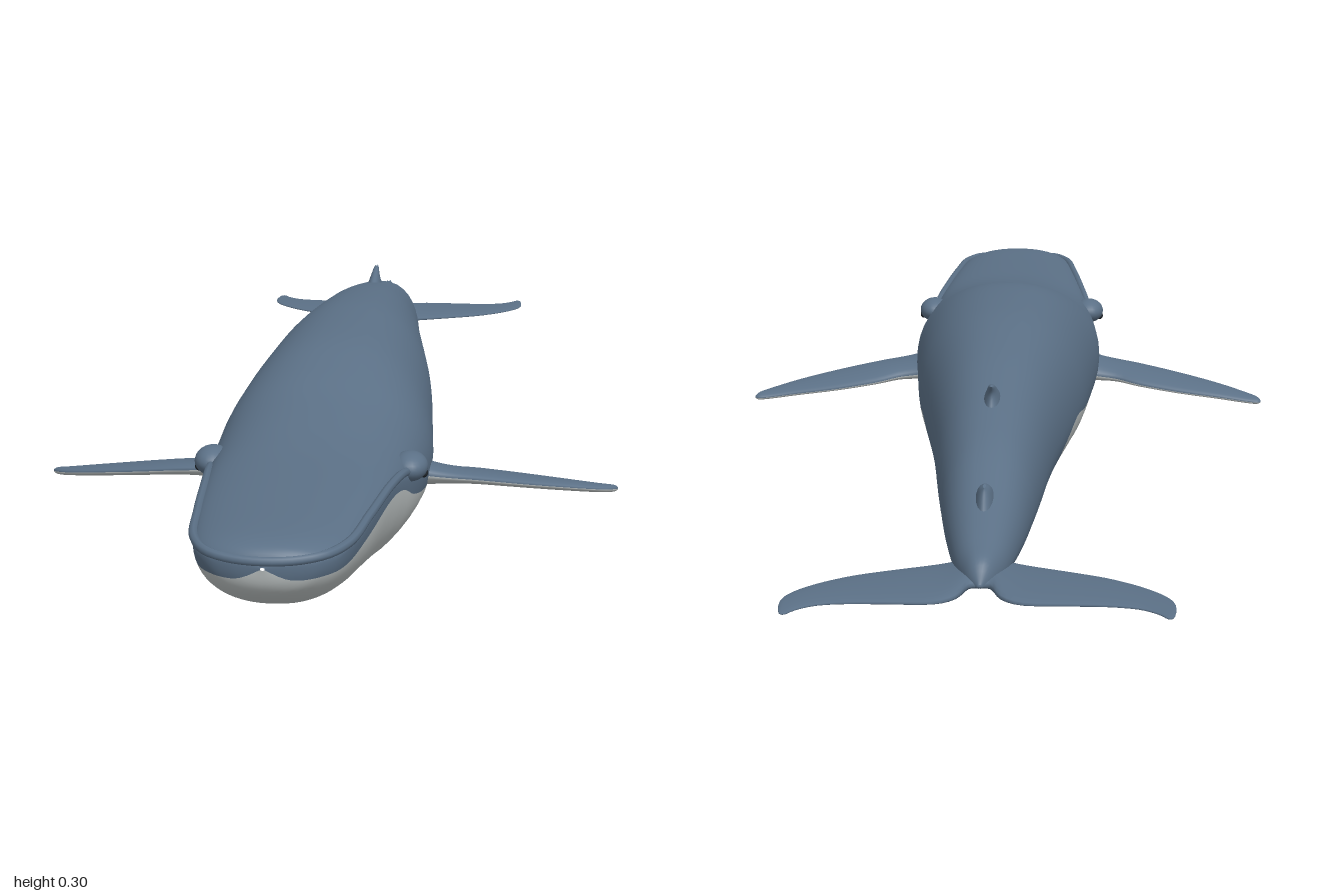
import * as THREE from 'three';

const blue = new THREE.MeshStandardMaterial({ color: 0x5b7086 });
blue.name = 'slate blue skin';
const pale = new THREE.MeshStandardMaterial({ color: 0xbcc2c2 });
pale.name = 'pale belly';
const dark = new THREE.MeshStandardMaterial({ color: 0x20262c });
dark.name = 'dark eye';

// Body stations: z, half width, top y, bottom y, widest y, belly colour line y
const STATIONS = [
  [0.997, 0.003, 0.182, 0.178, 0.180, 0.179],
  [0.99, 0.045, 0.199, 0.153, 0.182, 0.164],
  [0.97, 0.080, 0.209, 0.132, 0.184, 0.164],
  [0.92, 0.104, 0.214, 0.106, 0.185, 0.165],
  [0.80, 0.120, 0.217, 0.070, 0.186, 0.168],
  [0.65, 0.134, 0.222, 0.037, 0.184, 0.170],
  [0.57, 0.145, 0.228, 0.025, 0.172, 0.162],
  [0.50, 0.155, 0.237, 0.016, 0.155, 0.135],
  [0.40, 0.164, 0.254, 0.008, 0.142, 0.112],
  [0.30, 0.167, 0.277, 0.003, 0.137, 0.102],
  [0.18, 0.158, 0.297, 0.005, 0.138, 0.102],
  [0.00, 0.143, 0.302, 0.020, 0.145, 0.122],
  [-0.12, 0.128, 0.299, 0.035, 0.148, 0.138],
  [-0.28, 0.106, 0.285, 0.051, 0.150, 0.110],
  [-0.40, 0.091, 0.267, 0.058, 0.148, 0.114],
  [-0.52, 0.079, 0.246, 0.062, 0.142, 0.090],
  [-0.61, 0.069, 0.226, 0.066, 0.136, 0.068],
  [-0.72, 0.055, 0.187, 0.077, 0.126, 0.077],
  [-0.82, 0.038, 0.158, 0.094, 0.118, 0.094],
  [-0.87, 0.021, 0.143, 0.104, 0.114, 0.104],
  [-0.89, 0.003, 0.115, 0.109, 0.112, 0.109],
];

// Skin closed rings; the first `split` columns use material 0, the rest material 1
function loft(rings, split, flip = false) {
  const n = rings[0].length, first = [], second = [];
  for (let i = 0; i < rings.length - 1; i++) {
    for (let j = 0; j < n; j++) {
      const a = i * n + j, b = i * n + (j + 1) % n, c = a + n, d = b + n;
      const out = j < split ? first : second;
      out.push(...(flip ? [a, b, c, b, d, c] : [a, c, b, b, c, d]));
    }
  }
  const g = new THREE.BufferGeometry();
  g.setAttribute('position', new THREE.Float32BufferAttribute(rings.flat(2), 3));
  g.setIndex([...first, ...second]);
  g.addGroup(0, first.length, 0);
  g.addGroup(first.length, second.length, 1);
  g.computeVertexNormals();
  return g;
}

// Smooth interpolation between neighbouring stations
function sample(rows, t) {
  const k = Math.min(Math.floor(t), rows.length - 2), f = t - k;
  const at = (i) => rows[Math.max(0, Math.min(rows.length - 1, i))];
  return rows[0].map((_, c) => {
    const [p, q, r, s] = [at(k - 1)[c], at(k)[c], at(k + 1)[c], at(k + 2)[c]];
    return q + 0.5 * f * (r - p + f * (2 * p - 5 * q + 4 * r - s + f * (3 * (q - r) + s - p)));
  });
}

function bodyGeometry() {
  const rings = [], upper = 28, lower = 24, sub = 5;
  for (let i = 0; i <= (STATIONS.length - 1) * sub; i++) {
    const [z, w, top, bottom, mid, line] = sample(STATIONS, i / sub);
    const s = line < mid ? (line - mid) / (mid - bottom) : (line - mid) / (top - mid);
    const a0 = Math.asin(Math.max(-0.999, Math.min(0.9, s)));
    const ring = [];
    for (let j = 0; j < upper + lower; j++) {
      const a = j < upper
        ? a0 + (Math.PI - 2 * a0) * j / upper
        : Math.PI - a0 + (Math.PI + 2 * a0) * (j - upper) / lower;
      const c = Math.cos(a), h = Math.sin(a);
      ring.push([
        Math.sign(c) * Math.abs(c) ** 0.88 * w,
        mid + h * (h > 0 ? top - mid : mid - bottom),
        z,
      ]);
    }
    rings.push(ring);
  }
  return loft(rings, upper);
}

// Fin blade growing along x from sections: x, leading z, trailing z, y, thickness
function foil(sections, side = 1, pitch = 0) {
  const rings = [], n = 20, sub = 3;
  for (let i = 0; i <= (sections.length - 1) * sub; i++) {
    const [x, lead, trail, y, thick] = sample(sections, i / sub);
    rings.push(Array.from({ length: n }, (_, j) => {
      const a = j / n * Math.PI * 2, dz = Math.cos(a) * (lead - trail) / 2;
      return [side * x, y + Math.sin(a) * thick / 2 + dz * pitch, (lead + trail) / 2 + dz];
    }));
  }
  return loft(rings, n / 2, side < 0);
}

const FLIPPER = [
  [0.13, 0.365, 0.27, 0.122, 0.050],
  [0.165, 0.360, 0.272, 0.115, 0.036],
  [0.20, 0.354, 0.268, 0.111, 0.027],
  [0.24, 0.346, 0.249, 0.106, 0.023],
  [0.31, 0.325, 0.236, 0.096, 0.020],
  [0.38, 0.296, 0.232, 0.086, 0.017],
  [0.43, 0.268, 0.228, 0.078, 0.014],
  [0.452, 0.250, 0.227, 0.075, 0.011],
  [0.459, 0.238, 0.232, 0.074, 0.003],
];

const FLUKE = [
  [0, -0.75, -0.888, 0.112, 0.026],
  [0.015, -0.765, -0.892, 0.112, 0.024],
  [0.03, -0.782, -0.932, 0.111, 0.020],
  [0.06, -0.797, -0.953, 0.110, 0.015],
  [0.12, -0.822, -0.955, 0.110, 0.012],
  [0.17, -0.845, -0.956, 0.110, 0.010],
  [0.21, -0.873, -0.964, 0.110, 0.008],
  [0.235, -0.898, -0.982, 0.110, 0.007],
  [0.247, -0.914, -0.999, 0.110, 0.006],
  [0.255, -0.930, -0.995, 0.110, 0.005],
  [0.259, -0.948, -0.970, 0.110, 0.002],
];

// Back fins use height in place of x
const DORSAL = [
  [0.235, -0.38, -0.505, 0, 0.034],
  [0.255, -0.40, -0.487, 0, 0.026],
  [0.270, -0.43, -0.482, 0, 0.016],
  [0.281, -0.462, -0.489, 0, 0.009],
  [0.284, -0.480, -0.492, 0, 0.003],
];
const TAIL_BUMP = [
  [0.165, -0.64, -0.765, 0, 0.034],
  [0.185, -0.67, -0.752, 0, 0.026],
  [0.198, -0.70, -0.744, 0, 0.016],
  [0.204, -0.722, -0.742, 0, 0.004],
];

export function createModel() {
  const whale = new THREE.Group();
  whale.name = 'whale';
  const add = (name, geometry, material) => {
    const mesh = new THREE.Mesh(geometry, material);
    mesh.name = name;
    whale.add(mesh);
    return mesh;
  };

  add('body', bodyGeometry(), [blue, pale]);
  add('dorsalFin', foil(DORSAL).rotateZ(Math.PI / 2), [blue, blue]);
  add('tailBump', foil(TAIL_BUMP).rotateZ(Math.PI / 2), [blue, blue]);

  // Raised rim of the upper jaw, running round the snout
  const half = [[0.150, 0.172, 0.50], [0.142, 0.186, 0.57], [0.132, 0.193, 0.66],
    [0.118, 0.195, 0.80], [0.102, 0.194, 0.92], [0.077, 0.193, 0.97], [0.043, 0.190, 0.987]];
  const path = [...half, [0, 0.189, 0.993], ...half.map(([x, y, z]) => [-x, y, z]).reverse()];
  const rim = new THREE.CatmullRomCurve3(path.map((p) => new THREE.Vector3(...p)));
  add('jawRim', new THREE.TubeGeometry(rim, 90, 0.0065, 8), blue);

  for (const side of [1, -1]) {
    const label = side > 0 ? 'left' : 'right';
    add(label + 'Flipper', foil(FLIPPER, side, 0.15), [blue, pale]);
    add(label + 'Fluke', foil(FLUKE, side), [blue, blue]);

    // Bulging brow with a small eye
    const brow = add(label + 'Brow', new THREE.SphereGeometry(1, 24, 16), blue);
    brow.scale.set(0.027, 0.022, 0.036);
    brow.position.set(side * 0.148, 0.180, 0.505);
    const eye = add(label + 'Eye', new THREE.SphereGeometry(1, 16, 12), dark);
    eye.scale.set(0.006, 0.007, 0.010);
    eye.position.set(side * 0.169, 0.170, 0.505);
  }
  return whale;
}
